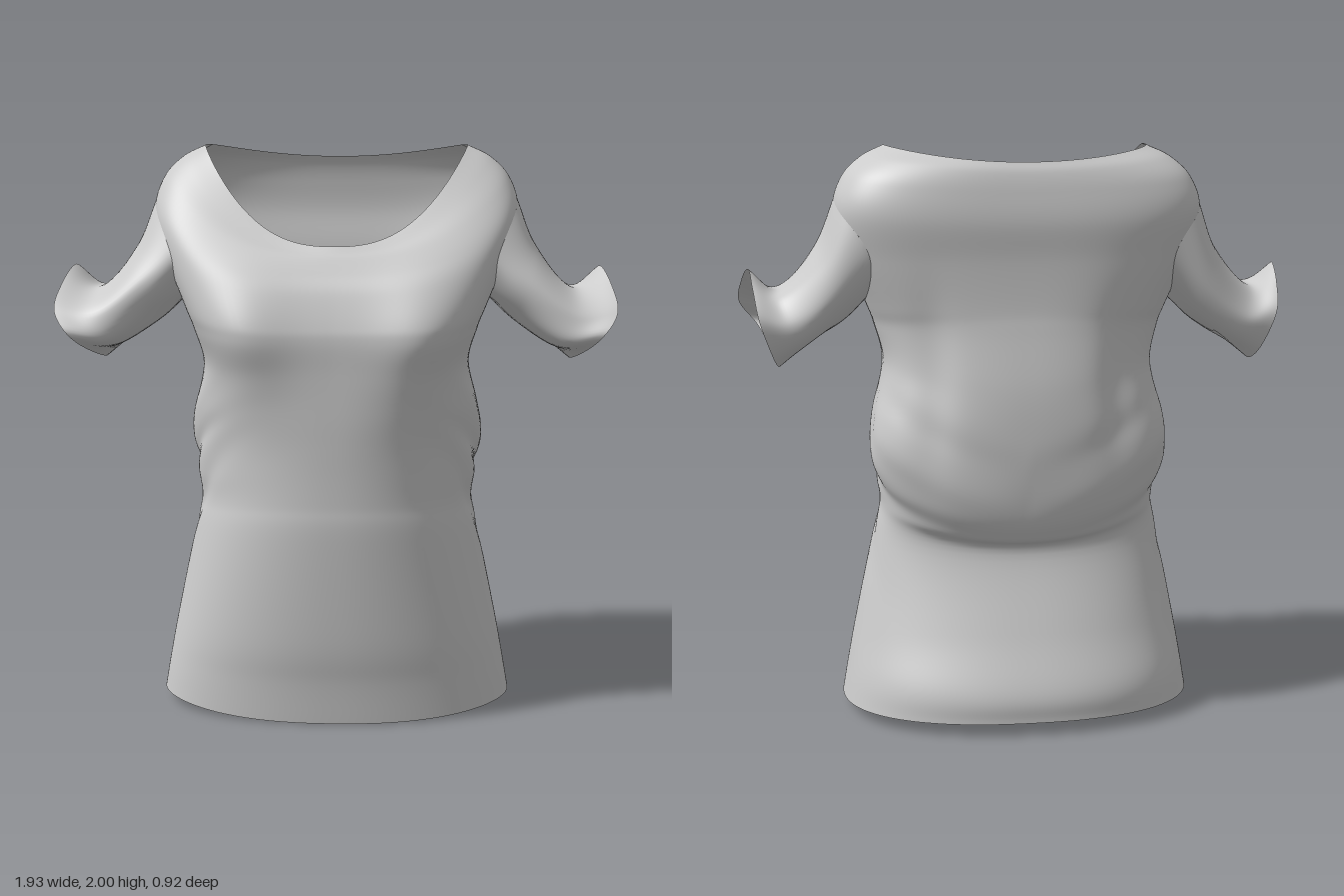
import * as THREE from 'three';

const V = (x, y, z) => new THREE.Vector3(x, y, z);
const bell = (d, w) => Math.exp(-(d * d) / (w * w));

// Torso cross-sections from hem to neckline: half width, side y, z of widest point,
// front z, front y, back z, back y
const RINGS = [
  [0.625, 0.045, 0, 0.325, 0.005, -0.455, 0.05],
  [0.605, 0.16, 0, 0.345, 0.15, -0.45, 0.15],
  [0.575, 0.32, -0.01, 0.375, 0.32, -0.37, 0.34],
  [0.507, 0.65, -0.03, 0.41, 0.68, -0.28, 0.6],
  [0.485, 0.76, -0.04, 0.412, 0.8, -0.33, 0.665],
  [0.5, 0.85, -0.08, 0.415, 0.9, -0.37, 0.75],
  [0.513, 0.96, -0.12, 0.42, 1.0, -0.392, 0.92],
  [0.505, 1.08, -0.12, 0.425, 1.1, -0.395, 1.05],
  [0.468, 1.25, -0.07, 0.43, 1.25, -0.385, 1.2],
  [0.495, 1.38, -0.04, 0.435, 1.36, -0.355, 1.38],
  [0.525, 1.46, -0.03, 0.425, 1.42, -0.345, 1.47],
  [0.59, 1.62, -0.03, 0.39, 1.52, -0.345, 1.62],
  [0.632, 1.78, -0.03, 0.355, 1.58, -0.355, 1.75],
  [0.602, 1.89, -0.02, 0.325, 1.63, -0.345, 1.85],
  [0.535, 1.96, -0.01, 0.31, 1.65, -0.33, 1.915],
  [0.455, 2.0, 0, 0.295, 1.67, -0.31, 1.95],
];
const TOP = RINGS.length - 1;
const spline = pts => new THREE.CatmullRomCurve3(pts, false, 'catmullrom', 0.5);
const sideCurve = spline(RINGS.map(r => V(r[0], r[1], r[2])));
// Squareness of a section: boxy at the chest in front and at the shoulders behind
const frontCurve = spline(RINGS.map((r, k) => V(2.2 + 1.5 * bell(k - 9.8, 2.2) - 0.32 * bell(k - 15, 1.5), r[4], r[3])));
const backCurve = spline(RINGS.map((r, k) => V(2.3 + 1.3 * bell(k - 12.3, 2.4), r[6], r[5])));

// Point on the left half of the torso: a runs from back (-PI/2) to front (PI/2)
function torsoPoint(a, k) {
  const t = THREE.MathUtils.clamp(k / TOP, 0, 1);
  const s = sideCurve.getPoint(t);
  const isFront = a > 0;
  const e = (isFront ? frontCurve : backCurve).getPoint(t);
  const c = Math.max(Math.cos(a), 0), sn = Math.sin(a);
  const r = Math.pow(c ** e.x + Math.abs(sn) ** e.x, -1 / e.x);
  const fx = c * r, fz = sn * r;
  const rise = Math.pow(fx, isFront ? 2.6 : 2);
  const p = V(s.x * fx, e.y + (s.y - e.y) * rise, s.z + Math.abs(e.z - s.z) * fz);
  const { x, y, z } = p;

  // Bust in front; draped, diagonal and vertical folds behind and at the sides
  if (isFront) p.z += 0.045 * bell(x - 0.32, 0.15) * bell(y - 1.36, 0.2) * fz;
  const back = Math.max(-fz, 0), flank = fx * fx;
  let d = 0.014 * back * fx * bell(y - 0.8 - 0.8 * x * x, 0.06);
  d -= 0.014 * back * fx * bell(y - 0.94 - 0.9 * x * x, 0.06);
  d -= 0.022 * back * bell(x - 0.33, 0.07) * bell(y - 1.2, 0.25);
  d -= 0.014 * flank * bell(y - 0.91 - 0.6 * z, 0.04) * bell(z, 0.3);
  d += 0.008 * flank * bell(y - 1.03 - 0.75 * z, 0.06) * bell(z, 0.35);
  d -= 0.008 * flank * bell(y - 0.66 - 1.1 * z, 0.06) * bell(z - 0.15, 0.3);
  return p.add(V(fx, 0, fz).normalize().multiplyScalar(d));
}

// Armhole: an ellipse in (angle, ring) space
const ARM = { a: -0.05, k: 11.2, ra: 0.65, rk: 1.1 };
const armholePoint = phi =>
  torsoPoint(ARM.a + ARM.ra * Math.sin(phi), ARM.k + ARM.rk * Math.cos(phi));

// Mesh over a grid closed in u; skip(i, j) leaves a quad out
function gridGeometry(nu, nv, point, flip, skip = () => false) {
  const pos = [], idx = [];
  for (let j = 0; j <= nv; j++)
    for (let i = 0; i < nu; i++) pos.push(...point(i, j).toArray());
  for (let j = 0; j < nv; j++)
    for (let i = 0; i < nu; i++) {
      if (skip(i, j)) continue;
      const i2 = (i + 1) % nu;
      const a = j * nu + i, b = j * nu + i2, c = a + nu, d = b + nu;
      if (flip) idx.push(a, b, c, b, d, c);
      else idx.push(a, c, b, b, c, d);
    }
  const g = new THREE.BufferGeometry();
  g.setAttribute('position', new THREE.Float32BufferAttribute(pos, 3));
  g.setIndex(idx);
  g.computeVertexNormals();
  return g;
}

function torsoGeometry() {
  const NU = 160, NV = 120;
  // Fold both halves onto the left one and measure distance from the armhole
  const locate = (i, j) => {
    let a = ((i % NU) / NU) * Math.PI * 2 - Math.PI / 2;
    const side = a > Math.PI / 2 ? -1 : 1;
    if (side < 0) a = Math.PI - a;
    const k = (j / NV) * TOP;
    const u = (a - ARM.a) / ARM.ra, v = (k - ARM.k) / ARM.rk;
    return { a, k, u, v, side, r: Math.hypot(u, v) };
  };
  const point = (i, j) => {
    const q = locate(i, j);
    // Vertices inside the armhole slide out to its rim
    const p = q.r < 1 ? armholePoint(Math.atan2(q.u, q.v)) : torsoPoint(q.a, q.k);
    p.x *= q.side;
    return p;
  };
  const inside = (i, j) => locate(i, j).r < 1;
  return gridGeometry(NU, NV, point, false, (i, j) =>
    inside(i, j) && inside(i + 1, j) && inside(i, j + 1) && inside(i + 1, j + 1));
}

// Sleeve sections, each listed top, front, bottom, back in eight steps
const SLEEVE = [
  [[0.695, 1.655, -0.03], [0.69, 1.63, 0.14], [0.66, 1.54, 0.235], [0.635, 1.44, 0.2],
    [0.62, 1.4, -0.02], [0.625, 1.41, -0.17], [0.65, 1.5, -0.24], [0.685, 1.61, -0.2]],
  [[0.82, 1.51, -0.03], [0.825, 1.505, 0.11], [0.82, 1.43, 0.24], [0.77, 1.345, 0.23],
    [0.73, 1.32, -0.02], [0.735, 1.335, -0.17], [0.78, 1.41, -0.225], [0.815, 1.49, -0.16]],
  [[0.925, 1.58, -0.03], [0.95, 1.53, 0.11], [0.962, 1.44, 0.22], [0.895, 1.345, 0.25],
    [0.83, 1.25, -0.04], [0.845, 1.285, -0.17], [0.89, 1.42, -0.225], [0.91, 1.52, -0.15]],
].map(s => new THREE.CatmullRomCurve3(s.map(p => V(...p)), true, 'catmullrom', 0.5));

function sleeveGeometry(side) {
  const NU = 72, NV = 32;
  const lines = Array.from({ length: NU }, (_, i) => spline(
    [armholePoint((i / NU) * Math.PI * 2), ...SLEEVE.map(c => c.getPoint(i / NU))]));
  const point = (i, j) => {
    const t = j / NV, phi = (i / NU) * Math.PI * 2;
    const p = lines[i].getPoint(t);
    // Soft creases spiralling out from the underarm
    const crease = 0.006 * Math.sin(phi * 4 + t * 5) * Math.sin(Math.PI * t) * (1 - 0.6 * Math.cos(phi));
    p.z += crease * Math.sin(phi);
    p.y += crease * Math.cos(phi);
    p.x *= side;
    return p;
  };
  return gridGeometry(NU, NV, point, side > 0);
}

export function createModel() {
  const group = new THREE.Group();
  group.name = 'shirt';
  const cloth = new THREE.MeshStandardMaterial({ color: 0xcccccc, side: THREE.DoubleSide });
  const add = (name, geometry) => {
    const mesh = new THREE.Mesh(geometry, cloth);
    mesh.name = name;
    group.add(mesh);
  };
  add('torso', torsoGeometry());
  add('leftSleeve', sleeveGeometry(1));
  add('rightSleeve', sleeveGeometry(-1));
  return group;
}
